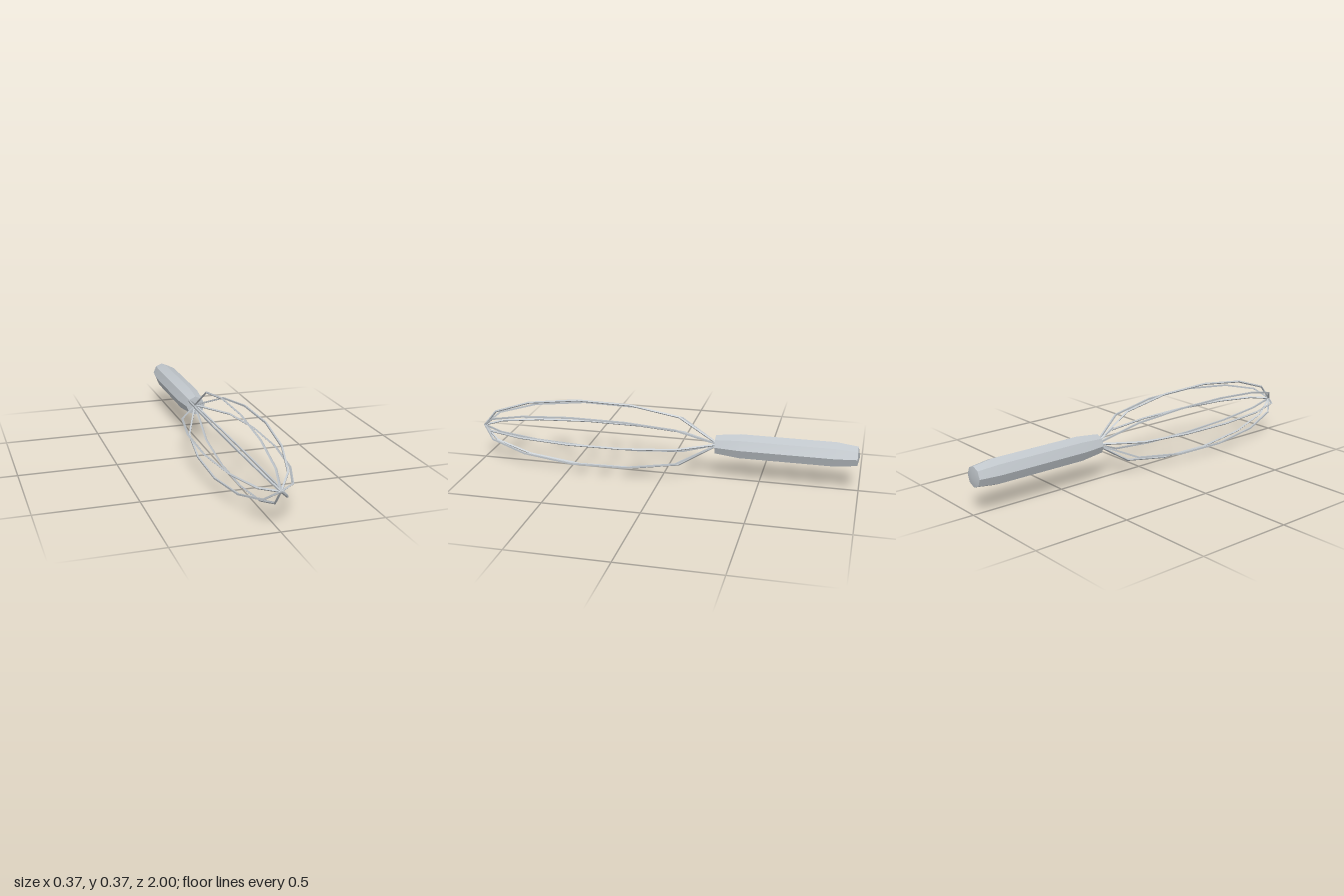
import * as THREE from 'three';
import { toCreasedNormals } from 'three/addons/utils/BufferGeometryUtils.js';

const AXIS_Y = 0.185;
const CREASE = 0.6;

// Sweeps a four-sided wire along points [r, z] in the XZ plane, with mitred corners
function wireGeometry(points, w) {
  const pts = points.map(([r, z]) => new THREE.Vector2(r, z));
  const pos = [], index = [];
  pts.forEach((p, i) => {
    const a = pts[Math.max(i - 1, 0)], b = pts[Math.min(i + 1, pts.length - 1)];
    const d1 = (i > 0 ? p.clone().sub(a) : b.clone().sub(p)).normalize();
    const d2 = (i < pts.length - 1 ? b.clone().sub(p) : d1.clone()).normalize();
    const t = d1.clone().add(d2).normalize();
    const m = w / t.dot(d1);
    const nx = -t.y * m, nz = t.x * m;
    pos.push(p.x + nx, 0, p.y + nz, p.x, w, p.y, p.x - nx, 0, p.y - nz, p.x, -w, p.y);
    if (i === 0) return;
    for (let k = 0; k < 4; k++) {
      const c = (i - 1) * 4 + k, d = (i - 1) * 4 + (k + 1) % 4;
      index.push(c, c + 4, d, d, c + 4, d + 4);
    }
  });
  // End caps
  const last = (pts.length - 1) * 4;
  index.push(0, 1, 2, 0, 2, 3, last, last + 2, last + 1, last, last + 3, last + 2);
  const g = new THREE.BufferGeometry();
  g.setAttribute('position', new THREE.Float32BufferAttribute(pos, 3));
  g.setIndex(index);
  return toCreasedNormals(g, CREASE);
}

export function createModel() {
  const steel = new THREE.MeshStandardMaterial({ color: 0xc0c6cb });
  steel.name = 'steel grey';

  const whisk = new THREE.Group();
  whisk.name = 'whisk';

  // Eight-sided handle with tapered ends and shallow domed caps
  const profile = [[0, -0.997], [0.052, -0.987], [0.066, -0.88], [0.066, -0.4], [0.051, -0.272], [0, -0.268]]
    .map(([r, z]) => new THREE.Vector2(r, z));
  const handleGeometry = new THREE.LatheGeometry(profile, 8).rotateX(Math.PI / 2);
  const handle = new THREE.Mesh(toCreasedNormals(handleGeometry, CREASE), steel);
  handle.name = 'handle';
  handle.position.y = AXIS_Y;
  whisk.add(handle);

  // Four wire loops crossing at the tip
  const half = [[0.003, -0.28], [0.131, -0.077], [0.174, 0.178], [0.179, 0.465], [0.145, 0.735], [0.081, 0.925]];
  const loop = [...half, [0, 0.992], ...half.map(([r, z]) => [-r, z]).reverse()];
  const geometry = wireGeometry(loop, 0.006);
  for (let i = 0; i < 4; i++) {
    const wire = new THREE.Mesh(geometry, steel);
    wire.name = 'wireLoop' + (i + 1);
    wire.position.y = AXIS_Y;
    wire.rotation.z = i * Math.PI / 4;
    whisk.add(wire);
  }
  return whisk;
}
